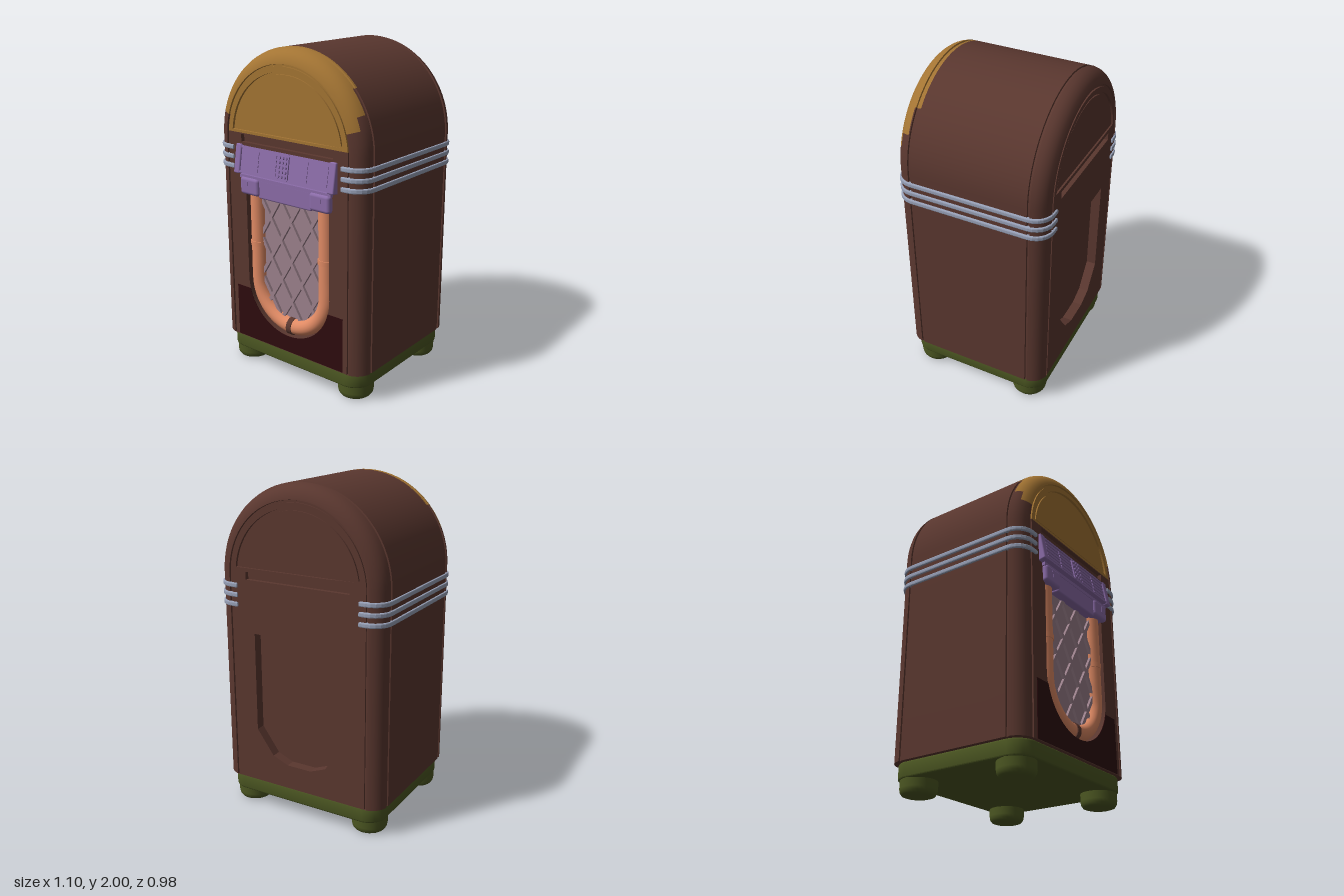
import * as THREE from 'three';
import { toCreasedNormals } from 'three/addons/utils/BufferGeometryUtils.js';
import { RoundedBoxGeometry } from 'three/addons/geometries/RoundedBoxGeometry.js';

const mat = (name, color, side = THREE.FrontSide) => {
  const m = new THREE.MeshStandardMaterial({ color, side });
  m.name = name;
  return m;
};
const M = {
  brown: mat('brown wood', 0x5a372f),
  gold: mat('gold', 0xa37433),
  lilac: mat('lilac', 0x8b6ca8),
  orange: mat('orange', 0xe08a64),
  mauve: mat('mauve', 0x9b808b),
  green: mat('olive green', 0x4c5722),
  steel: mat('steel blue', 0x98a1b8),
  maroon: mat('maroon', 0x2e0b0e),
};

// Cabinet dimensions
const W = 0.54, Y0 = 0.18, YC = 1.46, ZF = 0.445, ZB = -0.48, R = 0.1;
const SPLIT = 1.49;

function add(parent, name, geo, material, x = 0, y = 0, z = 0) {
  const m = new THREE.Mesh(geo, material);
  m.name = name;
  m.position.set(x, y, z);
  parent.add(m);
  return m;
}
const poly = (pts) => new THREE.Shape(pts.map(([x, y]) => new THREE.Vector2(x, y)));
const rect = (x0, y0, x1, y1) => poly([[x0, y0], [x1, y0], [x1, y1], [x0, y1]]);
const extrude = (shape, depth) =>
  new THREE.ExtrudeGeometry(shape, { depth, bevelEnabled: false, curveSegments: 32 });

// Arch-shaped cross-section, moved inwards by an inset
function archPoints(inset) {
  const r = W - inset, pts = [[r, Y0]];
  for (let i = 0; i <= 44; i++) {
    const a = (Math.PI * i) / 44;
    pts.push([r * Math.cos(a), YC + r * Math.sin(a)]);
  }
  pts.push([-r, Y0]);
  return pts;
}
// Part of a disc above a horizontal line
function archTop(r, y) {
  const s = new THREE.Shape(), a = Math.asin((y - YC) / r);
  s.absarc(0, YC, r, a, Math.PI - a, false);
  s.closePath();
  return s;
}
// U-shaped opening with a round bottom
function uShape(r, top) {
  const s = new THREE.Shape();
  s.moveTo(-r, top);
  s.lineTo(-r, 0.6);
  s.absarc(0, 0.6, r, Math.PI, Math.PI * 2, false);
  s.lineTo(r, top);
  s.closePath();
  return s;
}

// Shell with rounded front and back edges and narrow seam grooves
function shell() {
  const half = [[0, 0.325], [0, 0.338], [0.008, 0.341], [0.008, 0.352], [0, 0.355]];
  for (let d = 10; d <= 60; d += 10) {
    const a = THREE.MathUtils.degToRad(d);
    half.push([R * (1 - Math.cos(a)), 0.345 + R * Math.sin(a)]);
  }
  half.push([0.075, 0.443], [0.086, 0.445], [0.088, 0.435], [0.1, 0.435]);
  const back = half.map(([d, z]) => [d, ZB + ZF - z]).reverse();
  const profile = [...back, ...half];
  const rings = profile.map(([d, z]) => archPoints(d).map(([x, y]) => [x, y, z]));
  const brown = [], gold = [];
  for (let j = 0; j < rings.length - 1; j++) {
    const n = rings[j].length, z = (profile[j][1] + profile[j + 1][1]) / 2;
    const limit = z < 0.325 ? 9 : z < 0.36 ? 1.8 : z < 0.405 ? 1.69 : 1.6;
    for (let i = 0; i < n; i++) {
      const k = (i + 1) % n;
      const a = rings[j][i], b = rings[j][k], c = rings[j + 1][k], d = rings[j + 1][i];
      ((a[1] + b[1]) / 2 > limit ? gold : brown).push(...a, ...b, ...c, ...a, ...c, ...d);
    }
  }
  const g = new THREE.BufferGeometry();
  g.setAttribute('position', new THREE.Float32BufferAttribute([...brown, ...gold], 3));
  g.addGroup(0, brown.length / 3, 0);
  g.addGroup(brown.length / 3, gold.length / 3, 1);
  return toCreasedNormals(g, 0.6);
}

// Flat end wall with a half-round recess, a slot and a large opening
function endWall(name, opening, topMaterial) {
  const g = new THREE.Group();
  g.name = name;
  const r = W - R, t = 0.06;
  const lower = rect(-r, Y0, r, SPLIT);
  lower.holes.push(opening, rect(-0.34, 1.437, 0.34, 1.483));
  add(g, 'lowerWall', extrude(lower, t), M.brown, 0, 0, -t);
  const upper = archTop(r, SPLIT);
  upper.holes.push(archTop(0.41, 1.505));
  add(g, 'upperWall', extrude(upper, t), topMaterial, 0, 0, -t);
  add(g, 'archPanel', extrude(archTop(0.425, 1.5), 0.02), topMaterial, 0, 0, -0.035);
  add(g, 'archInset', extrude(archTop(0.395, 1.515), 0.012), topMaterial, 0, 0, -0.017);
  add(g, 'slotFloor', new THREE.BoxGeometry(0.7, 0.06, 0.01), M.brown, 0, 1.46, -0.03);
  add(g, 'openingFloor', new THREE.BoxGeometry(0.7, 0.95, 0.01), M.brown, 0, 0.72, -t - 0.003);
  return g;
}

// Diamond lattice clipped to the grille opening
function lattice(parent) {
  const inside = (x, y) => y < 1.15 && Math.abs(x) < 0.24 && (y > 0.6 || Math.hypot(x, y - 0.6) < 0.24);
  const ang = Math.atan2(0.25, 0.155);
  for (const s of [-1, 1]) for (let k = -5; k <= 5; k++) {
    const dx = s * Math.cos(ang), dy = Math.sin(ang);
    const ok = [];
    for (let t = -1; t <= 1; t += 0.005) {
      if (inside(k * 0.155 + dx * t, 0.75 + dy * t)) ok.push(t);
    }
    if (ok.length < 4) continue;
    const t0 = ok[0], t1 = ok[ok.length - 1], m = (t0 + t1) / 2;
    const bar = add(parent, 'latticeBar', new THREE.BoxGeometry(t1 - t0, 0.022, 0.016), M.mauve,
      k * 0.155 + dx * m, 0.75 + dy * m, 0.408);
    bar.rotation.z = s * ang;
  }
}

// Trim strip wrapping one side from the front to the back
function trimStrip(s) {
  const path = (off) => {
    const p = [[0.405, ZF + off]];
    for (const [zc, from] of [[ZF - R, 90], [ZB + R, 0]])
      for (let d = 0; d <= 90; d += 15) {
        const a = THREE.MathUtils.degToRad(from - d);
        p.push([0.44 + (R + off) * Math.cos(a), zc + (R + off) * Math.sin(a)]);
      }
    p.push([0.405, ZB - off]);
    return p.map(([x, z]) => [s * x, -z]);
  };
  const g = new THREE.ExtrudeGeometry(poly([...path(0.005), ...path(-0.012).reverse()]), {
    depth: 0.014, bevelSize: 0.006, bevelThickness: 0.007, bevelSegments: 2,
  });
  return g.rotateX(-Math.PI / 2);
}

function selector() {
  const g = new THREE.Group();
  g.name = 'selectorPanel';
  const box = (name, w, h, d, x, y, z) => add(g, name, new THREE.BoxGeometry(w, h, d), M.lilac, x, y, z);
  box('panelPlate', 0.72, 0.16, 0.05, 0, 0, 0);
  for (const s of [-1, 1]) {
    add(g, 'endBlock', new RoundedBoxGeometry(0.045, 0.175, 0.066, 2, 0.008), M.lilac, s * 0.35, 0, 0.002);
    box('frameRail', 0.66, 0.014, 0.064, 0, s * 0.073, 0);
    for (let i = 0; i < 5; i++) {
      box('longKey', 0.132, 0.017, 0.06, s * 0.255, (i - 2) * 0.025, 0);
      box('shortKey', 0.125, 0.017, 0.06, s * 0.115, (i - 2) * 0.025, 0);
    }
  }
  box('buttonPlate', 0.082, 0.15, 0.066, 0, 0, 0);
  const button = new THREE.CylinderGeometry(0.009, 0.009, 0.012, 12).rotateX(Math.PI / 2);
  for (let i = -1; i <= 1; i++) for (let j = -2; j <= 2; j++)
    add(g, 'button', button, M.lilac, i * 0.024, j * 0.027, 0.036);
  g.position.set(0, 1.335, 0.438);
  g.rotation.x = -0.17;
  return g;
}

export function createModel() {
  const root = new THREE.Group();
  root.name = 'musicCabinet';

  // Cabinet
  add(root, 'cabinetShell', shell(), [M.brown, M.gold]);
  const front = endWall('frontWall', uShape(0.313, 1.16), M.gold);
  front.position.z = ZF;
  const backOpening = poly([[-0.29, 0.52], [-0.18, 0.37], [-0.08, 0.33], [0.08, 0.33],
    [0.18, 0.37], [0.29, 0.52], [0.29, 1.12], [-0.29, 1.12]]);
  const back = endWall('backWall', backOpening, M.brown);
  back.position.z = ZB;
  back.rotation.y = Math.PI;
  root.add(front, back);

  // Maroon plate cut around the tube
  const plate = new THREE.Shape(), a = Math.asin(0.08 / 0.313);
  plate.moveTo(-0.41, 0.185);
  plate.lineTo(0.41, 0.185);
  plate.lineTo(0.41, 0.52);
  plate.absarc(0, 0.6, 0.313, -a, a - Math.PI, true);
  plate.lineTo(-0.41, 0.52);
  plate.closePath();
  add(root, 'lowerPlate', extrude(plate, 0.003), M.maroon, 0, 0, ZF);

  // Grille
  add(root, 'grillePlate', extrude(uShape(0.26, 1.16), 0.01), M.mauve, 0, 0, 0.39);
  lattice(root);

  // U-shaped tube with collars
  const pts = [];
  for (let y = 1.16; y > 0.62; y -= 0.09) pts.push([-0.26, y]);
  for (let i = 0; i <= 16; i++) {
    const t = Math.PI * (1 + i / 16);
    pts.push([0.26 * Math.cos(t), 0.6 + 0.26 * Math.sin(t)]);
  }
  for (let y = 0.71; y < 1.2; y += 0.09) pts.push([0.26, y]);
  const curve = new THREE.CatmullRomCurve3(pts.map(([x, y]) => new THREE.Vector3(x, y, 0)));
  add(root, 'glowTube', new THREE.TubeGeometry(curve, 100, 0.05, 20), M.orange, 0, 0, 0.396);
  for (const s of [-1, 1])
    add(root, 'tubeCollar', new THREE.CylinderGeometry(0.054, 0.054, 0.03, 20), M.orange, s * 0.26, 0.82, 0.397);
  add(root, 'tubeClip', new THREE.CylinderGeometry(0.055, 0.055, 0.034, 20).rotateZ(Math.PI / 2),
    M.brown, 0, 0.34, 0.397);

  // Trim strips
  for (const s of [-1, 1]) {
    const strip = trimStrip(s);
    for (const y of [1.283, 1.34, 1.397]) add(root, 'trimStrip', strip, M.steel, 0, y - 0.007, 0);
  }

  // Selector panel and the housing below it
  root.add(selector());
  add(root, 'housingMiddle', new RoundedBoxGeometry(0.4, 0.115, 0.06, 2, 0.01), M.lilac, 0, 1.178, 0.432);
  for (const s of [-1, 1]) {
    add(root, 'housingEnd', new RoundedBoxGeometry(0.145, 0.107, 0.07, 3, 0.02), M.lilac, s * 0.263, 1.183, 0.441);
    add(root, 'housingSlot', new THREE.BoxGeometry(0.008, 0.045, 0.006), M.lilac, s * 0.275, 1.19, 0.476);
  }
  add(root, 'housingRim', new THREE.BoxGeometry(0.68, 0.02, 0.04), M.lilac, 0, 1.238, 0.445);

  // Base and feet
  const bx = 0.41, r = 0.1, base = new THREE.Shape();
  [[bx, 0.36, 0], [-bx, 0.36, 1], [-bx, -0.32, 2], [bx, -0.32, 3]].forEach(([x, y, q]) =>
    base.absarc(x, y, r, (q * Math.PI) / 2, ((q + 1) * Math.PI) / 2, false));
  base.closePath();
  const baseGeo = new THREE.ExtrudeGeometry(base, {
    depth: 0.075, bevelSize: 0.01, bevelThickness: 0.01, bevelSegments: 3, curveSegments: 10,
  }).rotateX(-Math.PI / 2);
  add(root, 'base', toCreasedNormals(baseGeo, 0.7), M.green, 0, 0.095, 0);
  const foot = new THREE.LatheGeometry([[0, 0], [0.075, 0], [0.093, 0.006], [0.103, 0.02], [0.107, 0.04], [0.107, 0.12]]
    .map(([x, y]) => new THREE.Vector2(x, y)), 28);
  for (const x of [-bx, bx]) for (const z of [0.315, -0.35]) add(root, 'foot', foot, M.green, x, 0, z);

  return root;
}
